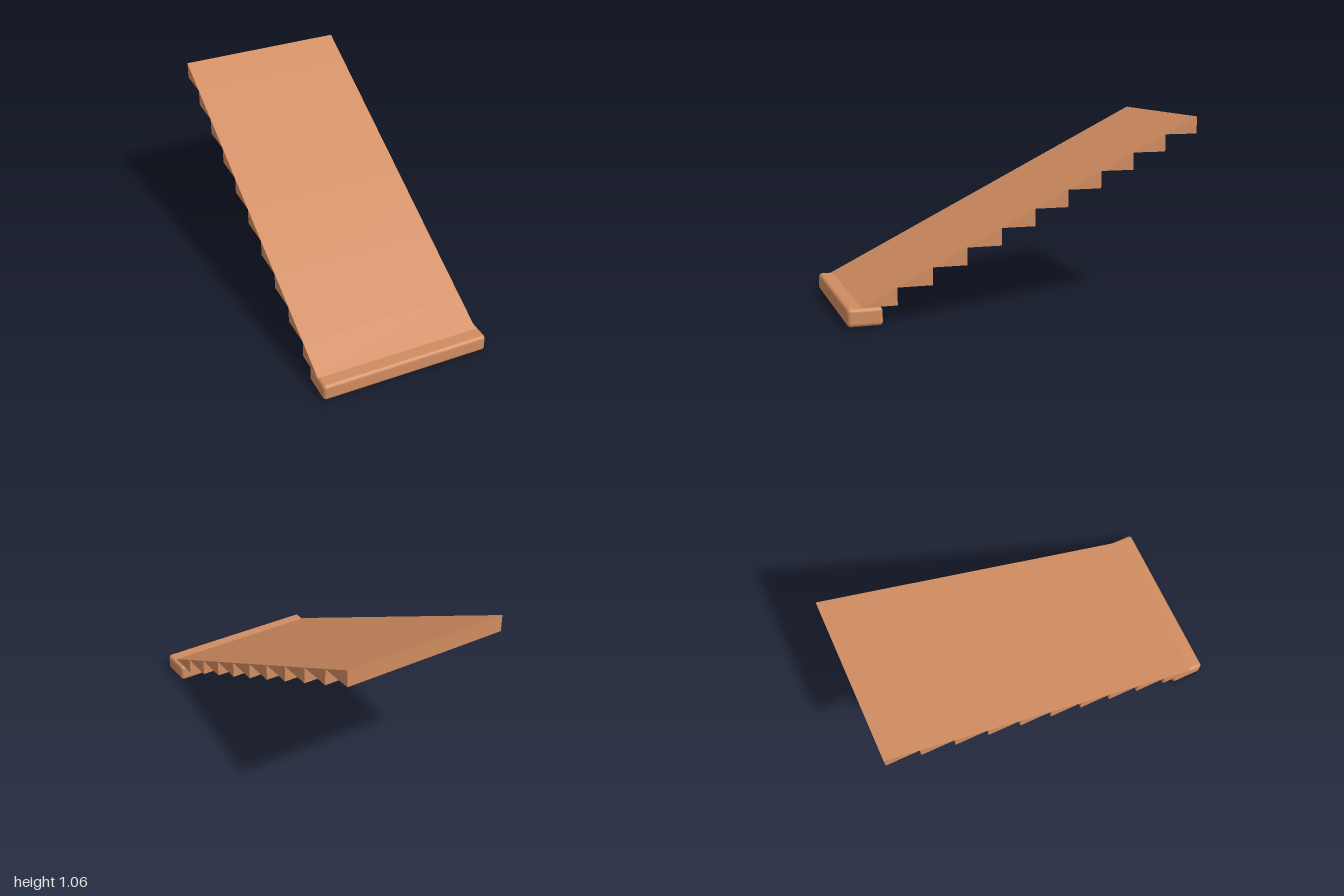
import * as THREE from 'three';
import { RoundedBoxGeometry } from 'three/addons/geometries/RoundedBoxGeometry.js';

const STEPS = 10, RUN = 0.192, RISE = 0.096;
const START_Z = 0.92, START_Y = 0.098;
const RIGHT_X = -0.49, LEFT_X = 0.47;

export function createModel() {
  const group = new THREE.Group();
  group.name = 'rampStaircase';
  const material = new THREE.MeshStandardMaterial({ color: 0xd08c60 });

  // Rounded bottom step
  const base = new THREE.Mesh(new RoundedBoxGeometry(0.98, 0.098, 0.19, 4, 0.02), material);
  base.name = 'bottomStep';
  base.position.set(0, 0.049, 0.905);
  group.add(base);

  // Wedge: sloped top, flat underside, upright back
  const profile = new THREE.Shape();
  profile.moveTo(0, 0);
  profile.lineTo(-RUN, RISE);
  profile.lineTo(-RUN, 0);
  profile.closePath();
  const wedge = new THREE.ExtrudeGeometry(profile, { depth: LEFT_X - RIGHT_X, bevelEnabled: false });
  wedge.rotateY(-Math.PI / 2); // profile x becomes z, depth runs toward -x
  wedge.translate(LEFT_X, 0, 0);

  // Wedges meet tip to heel so their tops form one continuous slope
  const flight = new THREE.Group();
  flight.name = 'slopedFlight';
  for (let i = 0; i < STEPS; i++) {
    const step = new THREE.Mesh(wedge, material);
    step.name = `wedgeStep${i + 1}`;
    step.position.set(0, START_Y + i * RISE, START_Z - i * RUN);
    flight.add(step);
  }
  group.add(flight);
  return group;
}
